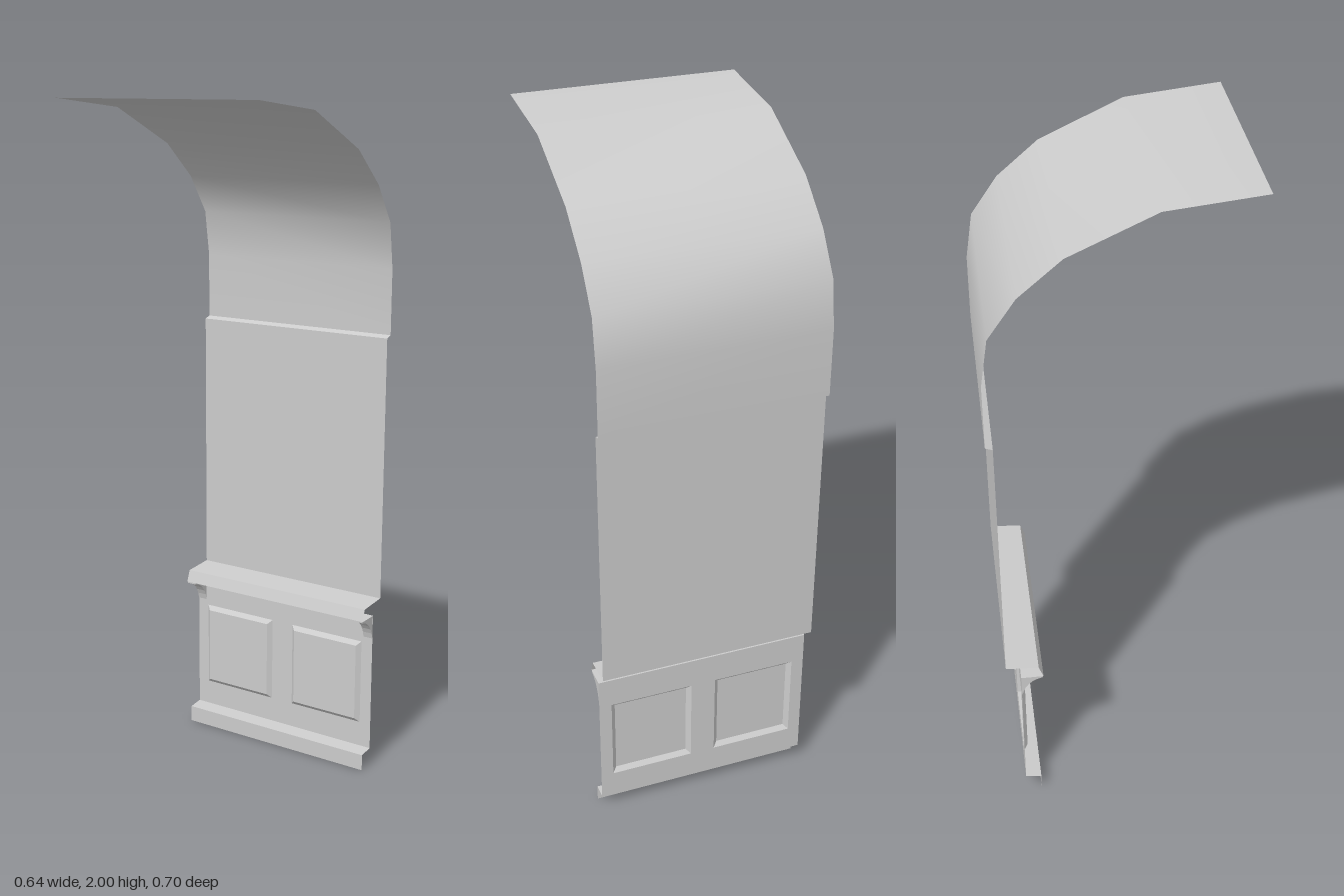
import * as THREE from 'three';

const material = new THREE.MeshStandardMaterial({ color: 0xcccccc, side: THREE.DoubleSide });
const HALF = 0.32; // half the width of the wall section
const DADO_Z = -0.287; // plane of the lower panelling

function addMesh(parent, name, geometry) {
  const mesh = new THREE.Mesh(geometry, material);
  mesh.name = name;
  parent.add(mesh);
  return mesh;
}

// Sheet swept across the width from a [z, y] profile running top to bottom
function sheet(profile, smooth = false) {
  const positions = [];
  const index = [];
  profile.forEach(([z, y], i) => {
    positions.push(-HALF, y, z, HALF, y, z);
    if (i > 0) {
      const a = 2 * (i - 1);
      index.push(a, a + 2, a + 3, a, a + 3, a + 1);
    }
  });
  let geometry = new THREE.BufferGeometry();
  geometry.setAttribute('position', new THREE.Float32BufferAttribute(positions, 3));
  geometry.setIndex(index);
  if (!smooth) geometry = geometry.toNonIndexed();
  geometry.computeVertexNormals();
  return geometry;
}

// Corners of a rectangle, counter-clockwise from the front
function corners(cx, cy, w, h, z) {
  return [[-1, -1], [1, -1], [1, 1], [-1, 1]].map(([sx, sy]) => [cx + sx * w / 2, cy + sy * h / 2, z]);
}

// Bevelled border joining two rectangles
function bevel(outer, inner) {
  const positions = [];
  for (let i = 0; i < 4; i++) {
    const j = (i + 1) % 4;
    positions.push(...outer[i], ...outer[j], ...inner[j], ...outer[i], ...inner[j], ...inner[i]);
  }
  const geometry = new THREE.BufferGeometry();
  geometry.setAttribute('position', new THREE.Float32BufferAttribute(positions, 3));
  geometry.computeVertexNormals();
  return geometry;
}

export function createModel() {
  const group = new THREE.Group();
  group.name = 'wallSection';

  // Ceiling curving down into the wall
  addMesh(group, 'curvedCeiling', sheet([
    [0.35, 2], [0.09, 1.972], [-0.14, 1.865], [-0.255, 1.765],
    [-0.33, 1.655], [-0.35, 1.52], [-0.35, 1.33],
  ], true));

  // Small step and flat wall
  addMesh(group, 'upperStep', sheet([[-0.35, 1.33], [-0.33, 1.323]]));
  addMesh(group, 'upperWall', sheet([[-0.33, 1.323], [-0.33, 0.53]]));

  // Projecting rail above the panelling, and baseboard below
  addMesh(group, 'chairRail', sheet([[-0.33, 0.53], [-0.235, 0.523], [-0.222, 0.488], [DADO_Z, 0.488]]));
  addMesh(group, 'baseboard', sheet([[DADO_Z, 0.055], [-0.24, 0.05], [-0.24, 0]]));

  // Panelling with two openings for the raised panels
  const cy = 0.265, w = 0.22, h = 0.238, border = 0.013;
  const dado = new THREE.Shape();
  dado.moveTo(-HALF, 0.055).lineTo(HALF, 0.055).lineTo(HALF, 0.488).lineTo(-HALF, 0.488).closePath();
  for (const side of [-1, 1]) {
    const cx = side * 0.16;
    const outer = corners(cx, cy, w + 2 * border, h + 2 * border, DADO_Z);
    const inner = corners(cx, cy, w, h, DADO_Z + 0.012);
    dado.holes.push(new THREE.Path(outer.map(([x, y]) => new THREE.Vector2(x, y))));

    const panel = new THREE.Group();
    panel.name = side > 0 ? 'leftPanel' : 'rightPanel';
    addMesh(panel, 'panelBevel', bevel(outer, inner));
    addMesh(panel, 'panelFace', new THREE.PlaneGeometry(w, h)).position.set(cx, cy, DADO_Z + 0.012);
    group.add(panel);
  }
  addMesh(group, 'panelling', new THREE.ShapeGeometry(dado)).position.z = DADO_Z;

  // Curved brackets under the rail at both ends
  const profile = new THREE.Shape();
  profile.moveTo(DADO_Z + 0.001, 0.487);
  profile.lineTo(DADO_Z + 0.001, 0.415);
  profile.quadraticCurveTo(-0.275, 0.472, -0.224, 0.483);
  profile.lineTo(-0.224, 0.487);
  profile.closePath();
  const bracket = new THREE.ExtrudeGeometry(profile, { depth: 0.03, bevelEnabled: false, curveSegments: 6 });
  bracket.rotateY(-Math.PI / 2);
  addMesh(group, 'leftBracket', bracket).position.x = HALF;
  addMesh(group, 'rightBracket', bracket).position.x = -HALF + 0.03;

  return group;
}
